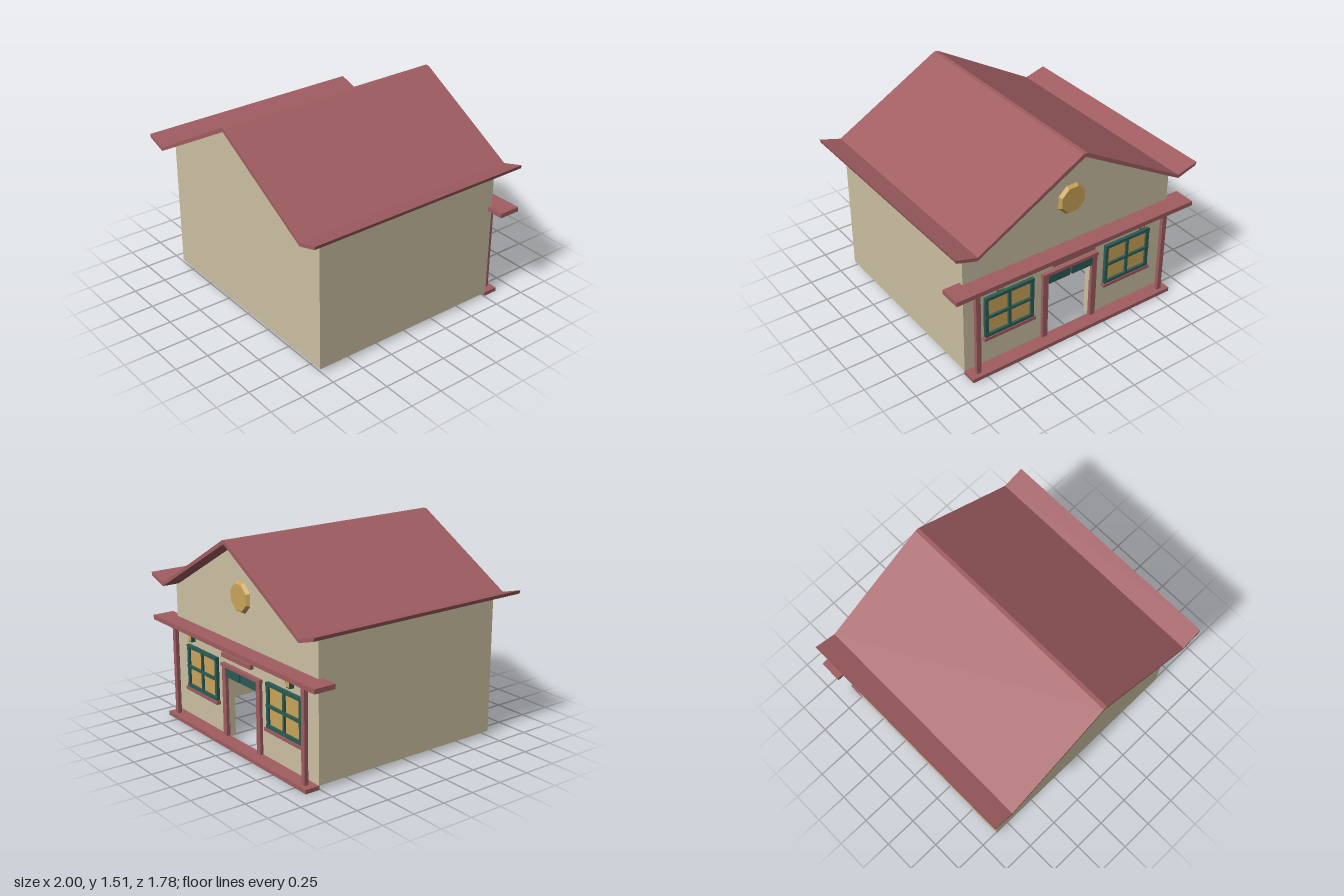
import * as THREE from 'three';

const mat = (name, color) => Object.assign(new THREE.MeshStandardMaterial({ color }), { name });

export function createModel() {
  const house = new THREE.Group();
  house.name = 'house';
  const wall = mat('sand wall', 0xcbc0a2);
  const red = mat('brick red trim', 0xa05d61);
  const teal = mat('dark teal', 0x2b5b55);
  const gold = mat('gold', 0xcaa558);

  const add = (name, geometry, material, parent = house) => {
    const mesh = new THREE.Mesh(geometry, material);
    mesh.name = name;
    parent.add(mesh);
    return mesh;
  };
  // Box given by its limits on each axis
  const box = (name, material, [x0, x1], [y0, y1], [z0, z1], parent) => {
    const mesh = add(name, new THREE.BoxGeometry(x1 - x0, y1 - y0, z1 - z0), material, parent);
    mesh.position.set((x0 + x1) / 2, (y0 + y1) / 2, (z0 + z1) / 2);
    return mesh;
  };
  // Outline in x and y, extruded from z0 to z1
  const slab = (name, material, points, z0, z1) => {
    const shape = new THREE.Shape(points.map(([x, y]) => new THREE.Vector2(x, y)));
    const geometry = new THREE.ExtrudeGeometry(shape, { depth: z1 - z0, bevelEnabled: false });
    geometry.translate(0, 0, z0);
    return add(name, geometry, material);
  };

  // Hollow shell, open underneath, with a doorway at the back
  const T = 0.05;
  box('frontWall', wall, [-0.87, 0.87], [0.03, 1.03], [0.76 - T, 0.76]);
  for (const s of [-1, 1]) {
    const xs = [s * 0.87, s * (0.87 - T)].sort((a, b) => a - b);
    box('sideWall', wall, xs, [0.03, 1.03], [-0.76 + T, 0.76 - T]);
  }
  slab('doorWall', wall, [
    [-0.87, 0.03], [-0.19, 0.03], [-0.19, 0.55], [0.19, 0.55],
    [0.19, 0.03], [0.87, 0.03], [0.87, 1.03], [-0.87, 1.03],
  ], -0.76, -0.76 + T);
  const gable = [[-0.81, 1.03], [0.81, 1.03], [0, 1.485]];
  slab('frontGable', wall, gable, 0.76 - T, 0.76);
  slab('backGable', wall, gable, -0.76, -0.76 + T);

  // Folded roof sheet with upturned eaves
  const top = [[0.015, 1.508], [0.835, 1.042], [1, 1.09]];
  const under = [[0.993, 1.064], [0.837, 1.016]];
  const half = [...top, ...under];
  const mirrored = half.map(([x, y]) => [-x, y]).reverse();
  slab('roof', red, [...half, [0, 1.483], ...mirrored], -0.89, 0.89);

  // Porch along the back
  box('porchStep', red, [-0.87, 0.87], [0, 0.03], [-0.867, -0.757]);
  box('porchCanopy', red, [-1, 1], [0.726, 0.76], [-0.89, -0.725]);
  box('hangingPlank', red, [-0.18, 0.18], [0.64, 0.672], [-0.82, -0.79]);

  // Doorway trim and the two panels under its lintel
  box('doorLintel', red, [-0.24, 0.24], [0.55, 0.575], [-0.79, -0.755]);
  for (const s of [-1, 1]) {
    box('doorJamb', red, [s * 0.212 - 0.022, s * 0.212 + 0.022], [0.03, 0.55], [-0.784, -0.755]);
    box('doorPanel', teal, [s * 0.0985 - 0.0905, s * 0.0985 + 0.0905], [0.485, 0.55], [-0.788, -0.77]);
  }

  for (const s of [-1, 1]) {
    box('porchPost', red, [s * 0.8 - 0.018, s * 0.8 + 0.018], [0.03, 0.706], [-0.836, -0.807]);

    // Window: pane, frame bars, crossing bars and sill
    const win = new THREE.Group();
    win.name = 'window';
    win.position.x = s * 0.51;
    house.add(win);
    box('pane', gold, [-0.19, 0.19], [0.27, 0.575], [-0.768, -0.759], win);
    for (const x of [-0.187, 0, 0.187]) {
      const w = x ? 0.013 : 0.01;
      box('uprightBar', teal, [x - w, x + w], [0.26, 0.575], [-0.783, -0.758], win);
    }
    for (const y of [0.272, 0.42, 0.574]) {
      const h = y === 0.42 ? 0.01 : 0.012;
      box('crossBar', teal, [-0.2, 0.2], [y - h, y + h], [-0.786, -0.758], win);
    }
    box('sill', red, [-0.212, 0.212], [0.235, 0.26], [-0.793, -0.757], win);

    // Lantern with a glowing pane
    const lantern = new THREE.Group();
    lantern.name = 'lantern';
    lantern.position.x = s * 0.61;
    house.add(lantern);
    box('lanternBody', teal, [-0.022, 0.022], [0.635, 0.7], [-0.814, -0.78], lantern);
    box('lanternCap', teal, [-0.027, 0.027], [0.698, 0.712], [-0.824, -0.777], lantern);
    box('lanternPane', gold, [-0.016, 0.016], [0.643, 0.692], [-0.817, -0.813], lantern);
  }

  // Eight-sided medallion in the back gable
  const disc = new THREE.CylinderGeometry(0.1, 0.118, 0.025, 8).toNonIndexed();
  disc.rotateY(Math.PI / 8);
  disc.rotateX(-Math.PI / 2);
  disc.computeVertexNormals();
  add('medallion', disc, gold).position.set(0, 1.1, -0.772);

  return house;
}
